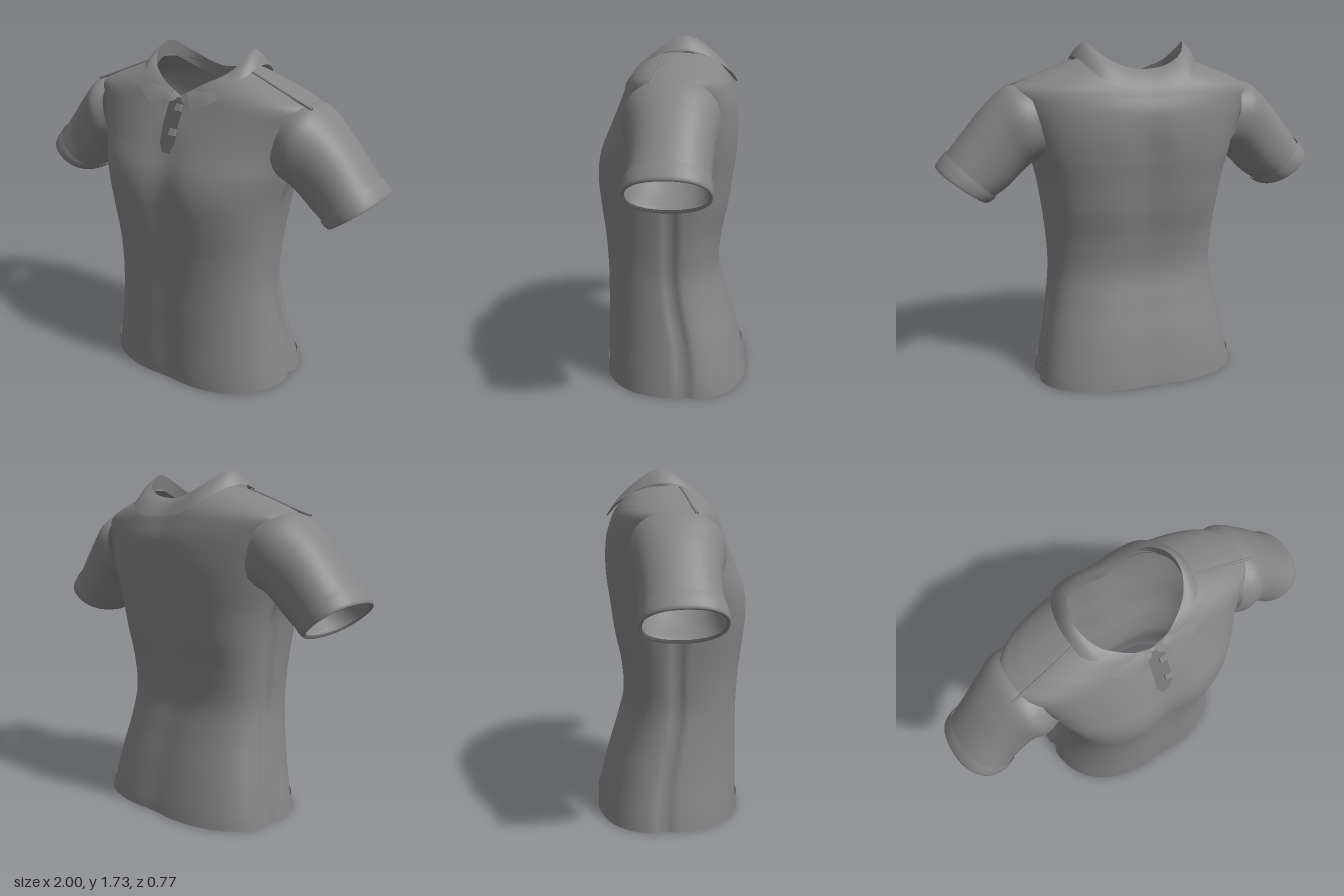
import * as THREE from 'three';
import { ParametricGeometry } from 'three/addons/geometries/ParametricGeometry.js';

// Torso rings: front y, side y, back y, half width, front z, back z, squareness, seam z
const TORSO = [
  [0.01, 0.01, 0.015, 0.535, 0.350, -0.385, 2.5, -0.07],
  [0.09, 0.09, 0.09, 0.522, 0.352, -0.370, 2.5, -0.07],
  [0.25, 0.25, 0.25, 0.490, 0.350, -0.330, 2.5, -0.055],
  [0.42, 0.42, 0.42, 0.460, 0.350, -0.280, 2.5, -0.02],
  [0.58, 0.58, 0.58, 0.442, 0.350, -0.242, 2.6, 0.00],
  [0.75, 0.75, 0.75, 0.450, 0.362, -0.255, 2.6, 0.00],
  [0.92, 0.92, 0.92, 0.468, 0.382, -0.292, 2.7, 0.00],
  [1.06, 1.06, 1.06, 0.492, 0.392, -0.312, 2.7, 0.00],
  [1.18, 1.18, 1.18, 0.525, 0.375, -0.330, 2.6, -0.01],
  [1.30, 1.30, 1.30, 0.560, 0.325, -0.337, 2.5, -0.02],
  [1.40, 1.42, 1.41, 0.605, 0.275, -0.328, 2.4, -0.02],
  [1.46, 1.51, 1.48, 0.635, 0.240, -0.306, 2.3, -0.02],
  [1.49, 1.56, 1.52, 0.550, 0.225, -0.290, 2.3, -0.02],
  [1.505, 1.60, 1.545, 0.450, 0.213, -0.275, 2.2, -0.02],
  [1.515, 1.64, 1.565, 0.340, 0.200, -0.258, 2.2, -0.02],
  [1.525, 1.66, 1.575, 0.280, 0.188, -0.238, 2.2, -0.02],
];

// Sleeve rings: top x, top y, bottom x, bottom y, front z, back z
const SLEEVE = [
  [0.56, 1.535, 0.47, 1.175, 0.185, -0.235],
  [0.65, 1.525, 0.53, 1.155, 0.205, -0.240],
  [0.755, 1.435, 0.585, 1.110, 0.175, -0.220],
  [0.855, 1.320, 0.665, 1.035, 0.160, -0.208],
  [0.955, 1.195, 0.735, 0.990, 0.165, -0.203],
];
const CUFF = [
  [0.945, 1.220, 0.715, 0.995, 0.168, -0.208],
  [0.972, 1.190, 0.735, 0.978, 0.174, -0.212],
  [0.998, 1.150, 0.762, 0.968, 0.172, -0.210],
  [0.975, 1.140, 0.772, 0.985, 0.158, -0.196],
];

// Smooth interpolation between table rows
function sampleRows(rows, t) {
  const f = THREE.MathUtils.clamp(t, 0, 1) * (rows.length - 1);
  const i = Math.min(Math.floor(f), rows.length - 2), k = f - i;
  const at = (j) => rows[THREE.MathUtils.clamp(j, 0, rows.length - 1)];
  return rows[0].map((_, c) => {
    const [a, b, d, e] = [at(i - 1)[c], at(i)[c], at(i + 1)[c], at(i + 2)[c]];
    return b + 0.5 * k * (d - a + k * (2 * a - 5 * b + 4 * d - e + k * (3 * (b - d) + e - a)));
  });
}

// Radius of a superellipse in the direction (c, s)
const radius = (c, s, a, b, n) =>
  Math.pow(Math.pow(Math.abs(c) / a, n) + Math.pow(Math.abs(s) / b, n), -1 / n);

function torsoPoint(u, t, target, grow = 0) {
  const [yF, yS, yB, w, zF, zB, n, zc] = sampleRows(TORSO, t);
  const c = Math.cos(-u * Math.PI * 2), s = Math.sin(-u * Math.PI * 2);
  const r = radius(c, s, w + grow, (s > 0 ? zF - zc : zc - zB) + grow, n);
  // side seam groove, fading out towards the armpit
  const groove = 1 - 0.045 * Math.exp(-Math.pow(s * r / 0.025, 2)) * THREE.MathUtils.smoothstep(1.15 - yS, 0, 0.15);
  const x = c * r * groove;
  // shallow hollows down the breastbone and the spine
  const body = THREE.MathUtils.smoothstep(yS, 0.6, 1.0) * (1 - THREE.MathUtils.smoothstep(yS, 1.2, 1.45));
  const hollow = 1 - (0.03 + 0.04 * body) * Math.exp(-Math.pow(x / 0.11, 2)) * (yS < 1.4 ? 1 : 0.5);
  const yC = s > 0 ? yF : yB;
  return target.set(x, yC + (yS - yC) * Math.pow(Math.abs(c), 1.1), zc + s * r * hollow);
}

function ringPoint(rows, u, t, side, target) {
  const [tx, ty, bx, by, zF, zB] = sampleRows(rows, t);
  const c = Math.cos(u * Math.PI * 2), s = Math.sin(u * Math.PI * 2) * side;
  const r = radius(c, s, 1, 1, 2.25), k = (1 + c * r) / 2;
  return target.set(side * (bx + (tx - bx) * k), by + (ty - by) * k,
    (zF + zB) / 2 + s * r * (zF - zB) / 2);
}

// Closed loop half, from the middle of the back to the front, mirrored to a full curve
function mirroredCurve(half) {
  const right = half.slice(1).reverse().map(([x, y, z]) => new THREE.Vector3(-x, y, z));
  return new THREE.CatmullRomCurve3([...right, ...half.map((p) => new THREE.Vector3(...p))]);
}

export function createModel() {
  const group = new THREE.Group();
  const cloth = new THREE.MeshStandardMaterial({ color: 0x858585, side: THREE.DoubleSide });
  cloth.name = 'grey cloth';
  const add = (name, geometry) => {
    const mesh = new THREE.Mesh(geometry, cloth);
    mesh.name = name;
    group.add(mesh);
    return mesh;
  };
  const surface = (name, fn, nu, nv) => add(name, new ParametricGeometry(fn, nu, nv));

  // Torso, with the armholes opened
  const torso = surface('torso', (u, v, p) => torsoPoint(u, v, p), 96, 75).geometry;
  const pos = torso.attributes.position, idx = torso.index.array, kept = [];
  for (let i = 0; i < idx.length; i += 3) {
    const tri = [idx[i], idx[i + 1], idx[i + 2]];
    const inArmhole = tri.every((j) => Math.abs(pos.getX(j)) > 0.5 && pos.getY(j) > 1.22 &&
      pos.getY(j) < 1.46 && Math.abs(pos.getZ(j) + 0.02) < 0.13);
    if (!inArmhole) kept.push(...tri);
  }
  torso.setIndex(kept);

  // Hem band
  const hemTop = 1 / (TORSO.length - 1);
  surface('hem', (u, v, p) => torsoPoint(u, v * hemTop * 0.95, p, 0.006), 96, 4);

  // Sleeves, cuffs and shoulder seams
  for (const side of [1, -1]) {
    const label = side > 0 ? 'left' : 'right';
    surface(label + 'Sleeve', (u, v, p) => ringPoint(SLEEVE, u, v, side, p), 48, 24);
    surface(label + 'Cuff', (u, v, p) => ringPoint(CUFF, u, v, side, p), 48, 9);
    const seam = new THREE.CatmullRomCurve3([[0.30, 1.652, 0.03], [0.42, 1.607, 0.045],
      [0.55, 1.556, 0.055], [0.645, 1.522, 0.065]].map(([x, y, z]) => new THREE.Vector3(side * x, y, z)));
    add(label + 'ShoulderSeam', new THREE.TubeGeometry(seam, 16, 0.007, 6));
  }

  // Collar: rim, folded leaf and inner stand
  const rim = mirroredCurve([[0, 1.612, -0.215], [0.11, 1.63, -0.222], [0.2, 1.68, -0.185],
    [0.255, 1.742, -0.075], [0.262, 1.715, 0.01], [0.22, 1.65, 0.095], [0.13, 1.595, 0.16], [0.045, 1.55, 0.195]]);
  const edge = mirroredCurve([[0, 1.525, -0.312], [0.13, 1.53, -0.318], [0.235, 1.58, -0.275],
    [0.305, 1.66, -0.13], [0.318, 1.668, 0.0], [0.285, 1.6, 0.14], [0.2, 1.52, 0.228], [0.1, 1.465, 0.255]]);
  surface('collarLeaf', (u, v, p) => {
    p.lerpVectors(edge.getPoint(u), rim.getPoint(u), v);
    p.y += Math.sin(v * Math.PI) * 0.012;
    return p;
  }, 72, 6);
  surface('collarStand', (u, v, p) => {
    p.copy(rim.getPoint(u));
    return p.set(p.x * (1 + 0.05 * v), p.y - 0.075 * v, p.z * (1 + 0.05 * v));
  }, 72, 3);

  // Button placket lying on the chest
  const chest = (y) => {
    const p = new THREE.Vector3();
    let t = 0.5;
    while (t < 1 && torsoPoint(0.75, t, p).y < y) t += 0.002;
    return p.z;
  };
  surface('placket', (u, v, p) => {
    const y = 1.27 + 0.25 * v;
    return p.set((u - 0.5) * 0.09, y, chest(y) + 0.006 * v + 0.002);
  }, 2, 12);

  // Square buttons
  for (const y of [1.48, 1.37]) {
    const button = add('button', new THREE.BoxGeometry(0.036, 0.036, 0.014));
    button.position.set(0.025, y, chest(y) + 0.012);
    button.rotation.x = -0.45;
  }
  return group;
}
